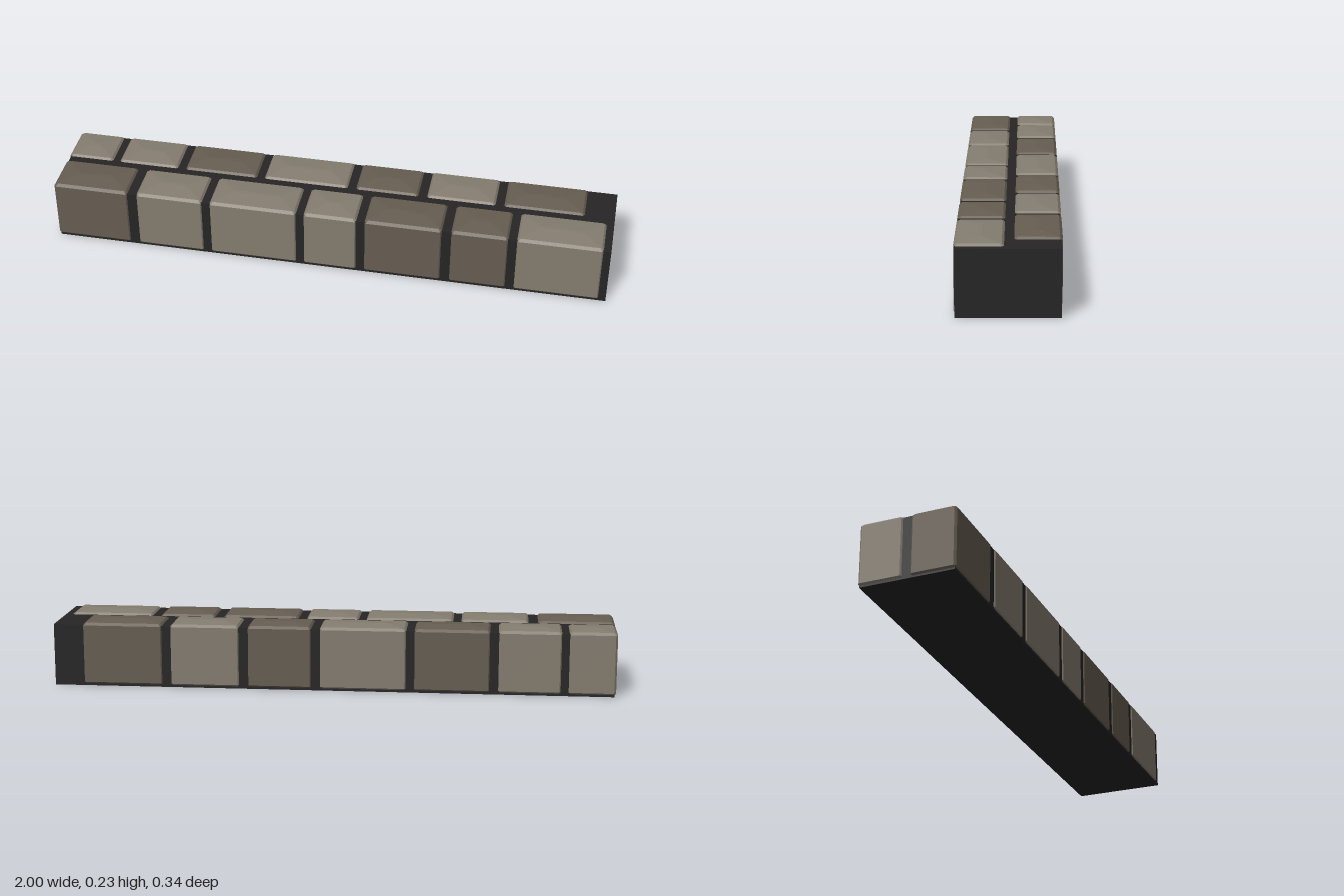
import * as THREE from 'three';

const LIGHT = 0x857d70, DARK = 0x675e52, MORTAR = 0x272525;

// Bevelled stone with a low hipped crown, lofted from eight-sided loops.
function stoneGeometry(x0, x1, z0, z1) {
  const cx = (x0 + x1) / 2, cz = (z0 + z1) / 2;
  const halfDepth = (z1 - z0) / 2;
  // [height, inset from the outline, corner cut]
  const levels = [
    [0.004, 0.007, 0.004],
    [0.013, 0, 0.007],
    [0.22, 0, 0.007],
    [0.229, 0.009, 0.005],
    [0.235, halfDepth - 0.006, 0.002],
  ];
  const positions = [], index = [];
  for (const [y, inset, c] of levels) {
    const a = (x1 - x0) / 2 - inset, b = halfDepth - inset;
    const loop = [
      [a, b - c], [a, c - b], [a - c, -b], [c - a, -b],
      [-a, c - b], [-a, b - c], [c - a, b], [a - c, b],
    ];
    for (const [x, z] of loop) positions.push(cx + x, y, cz + z);
  }
  for (let r = 0; r < levels.length - 1; r++) {
    for (let i = 0; i < 8; i++) {
      const p = r * 8 + i, q = r * 8 + (i + 1) % 8;
      index.push(p, q, q + 8, p, q + 8, p + 8);
    }
  }
  // close the bottom and the ridge
  const top = (levels.length - 1) * 8;
  for (let i = 1; i < 7; i++) {
    index.push(0, i + 1, i, top, top + i, top + i + 1);
  }
  const g = new THREE.BufferGeometry();
  g.setAttribute('position', new THREE.Float32BufferAttribute(positions, 3));
  g.setIndex(index);
  g.computeVertexNormals();
  return g;
}

// Row of stones: [start x, end x, colour]
function stoneRow(name, stones, z0, z1, materials) {
  const row = new THREE.Group();
  row.name = name;
  stones.forEach(([x0, x1, color], i) => {
    const stone = new THREE.Mesh(stoneGeometry(x0, x1, z0, z1), materials[color]);
    stone.name = `${name}Stone${i + 1}`;
    row.add(stone);
  });
  return row;
}

export function createModel() {
  const model = new THREE.Group();
  model.name = 'stoneCourse';
  const materials = {};
  for (const color of [LIGHT, DARK, MORTAR]) {
    materials[color] = new THREE.MeshStandardMaterial({ color, flatShading: true });
  }

  // Mortar core, just behind the faces of the stones
  const core = new THREE.Mesh(new THREE.BoxGeometry(1.995, 0.222, 0.332), materials[MORTAR]);
  core.position.set(0.0025, 0.111, 0);
  core.name = 'mortarCore';
  model.add(core);

  model.add(stoneRow('frontRow', [
    [-1, -0.725, DARK], [-0.695, -0.45, LIGHT], [-0.425, -0.107, LIGHT],
    [-0.083, 0.11, LIGHT], [0.136, 0.414, DARK], [0.443, 0.647, DARK],
    [0.673, 0.976, LIGHT],
  ], 0.011, 0.17, materials));

  model.add(stoneRow('backRow', [
    [-1, -0.832, LIGHT], [-0.81, -0.586, LIGHT], [-0.56, -0.29, DARK],
    [-0.265, 0.045, LIGHT], [0.072, 0.302, DARK], [0.33, 0.58, LIGHT],
    [0.607, 0.896, DARK],
  ], -0.17, -0.016, materials));

  return model;
}
